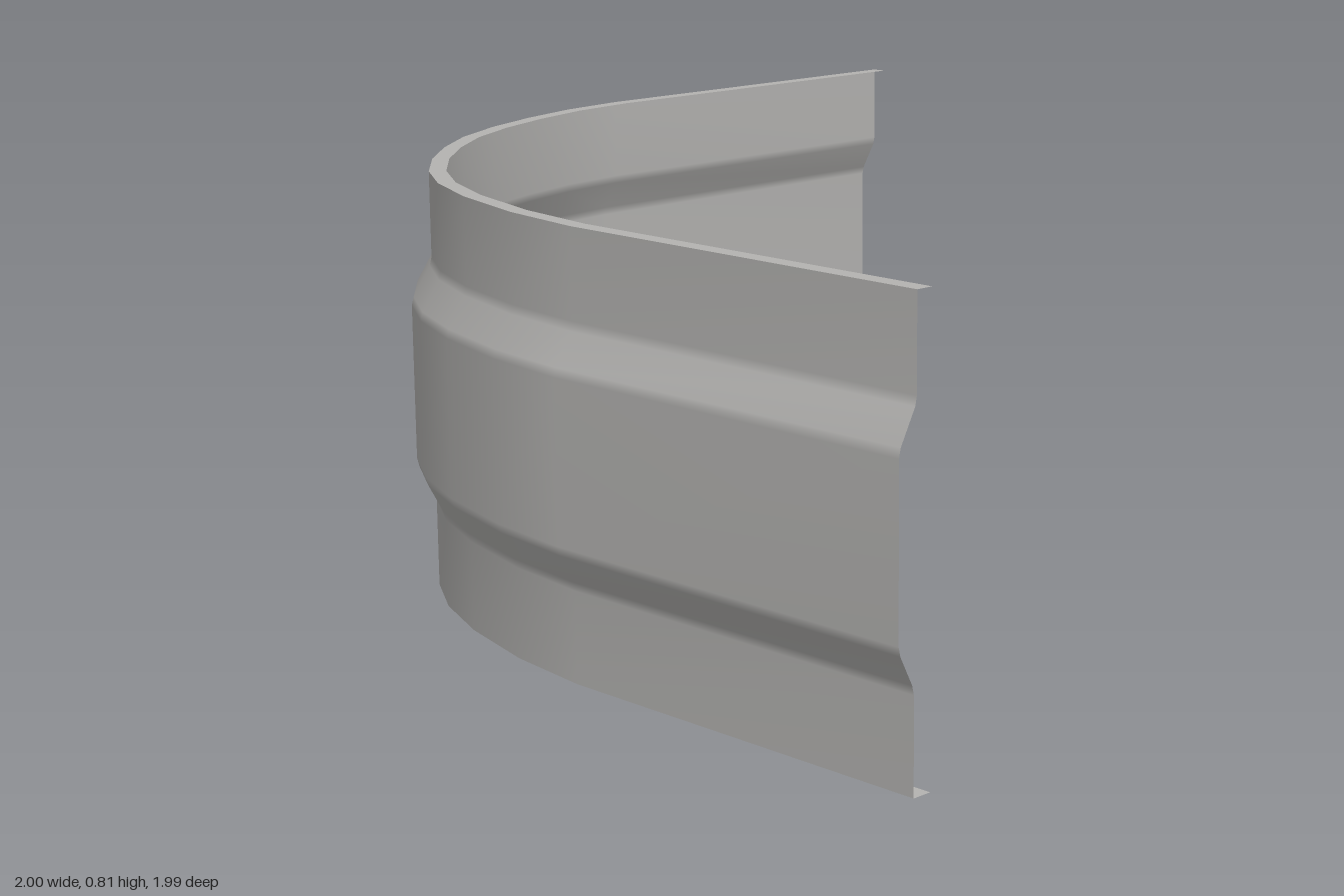
import * as THREE from 'three';

// Plan outline of the outermost line: straight, rounded corner, straight (x, z)
const PATH = [
  [-1, -0.995], [-1, -0.16], [-0.98, 0], [-0.938, 0.15], [-0.883, 0.294], [-0.81, 0.433],
  [-0.718, 0.556], [-0.612, 0.67], [-0.485, 0.778], [-0.354, 0.858], [-0.195, 0.922],
  [0, 0.972], [0.19, 0.995], [1, 0.995],
].map(([x, z]) => new THREE.Vector2(x, z));

// Inward mitred direction at each outline point
const INWARD = PATH.map((p, i) => {
  const before = p.clone().sub(PATH[Math.max(i - 1, 0)]).normalize();
  const after = PATH[Math.min(i + 1, PATH.length - 1)].clone().sub(p).normalize();
  const t = before.clone().add(after).normalize();
  const miter = Math.max(t.dot(before), t.dot(after));
  return new THREE.Vector2(t.y, -t.x).divideScalar(miter);
});

// Sweeps a profile of [inward offset, height] points along the outline
function sweep(profile) {
  const positions = [], index = [], n = profile.length;
  PATH.forEach((p, i) => {
    for (const [d, y] of profile) {
      positions.push(p.x + INWARD[i].x * d, y, p.y + INWARD[i].y * d);
    }
    if (i === PATH.length - 1) return;
    for (let j = 0; j < n - 1; j++) {
      const a = i * n + j, b = a + n;
      index.push(a, b, b + 1, a, b + 1, a + 1);
    }
  });
  const geometry = new THREE.BufferGeometry();
  geometry.setAttribute('position', new THREE.Float32BufferAttribute(positions, 3));
  geometry.setIndex(index);
  geometry.computeVertexNormals();
  return geometry;
}

export function createModel() {
  const group = new THREE.Group();
  group.name = 'curvedRail';
  const steel = new THREE.MeshStandardMaterial({ color: 0xb4b3b1, side: THREE.DoubleSide });
  steel.name = 'galvanised grey';

  const H = 0.815;
  const parts = {
    // Wall with a raised middle band and softened bends
    wall: [
      [0.035, 0], [0.035, 0.17], [0.031, 0.187], [0.004, 0.24], [0, 0.257],
      [0, 0.557], [0.004, 0.574], [0.036, 0.633], [0.04, 0.65], [0.04, H],
    ],
    // Narrow lips turned inward along both edges
    topLip: [[0.04, H], [0.073, H]],
    bottomLip: [[0.073, 0], [0.035, 0]],
  };
  for (const [name, profile] of Object.entries(parts)) {
    const mesh = new THREE.Mesh(sweep(profile), steel);
    mesh.name = name;
    group.add(mesh);
  }
  return group;
}
